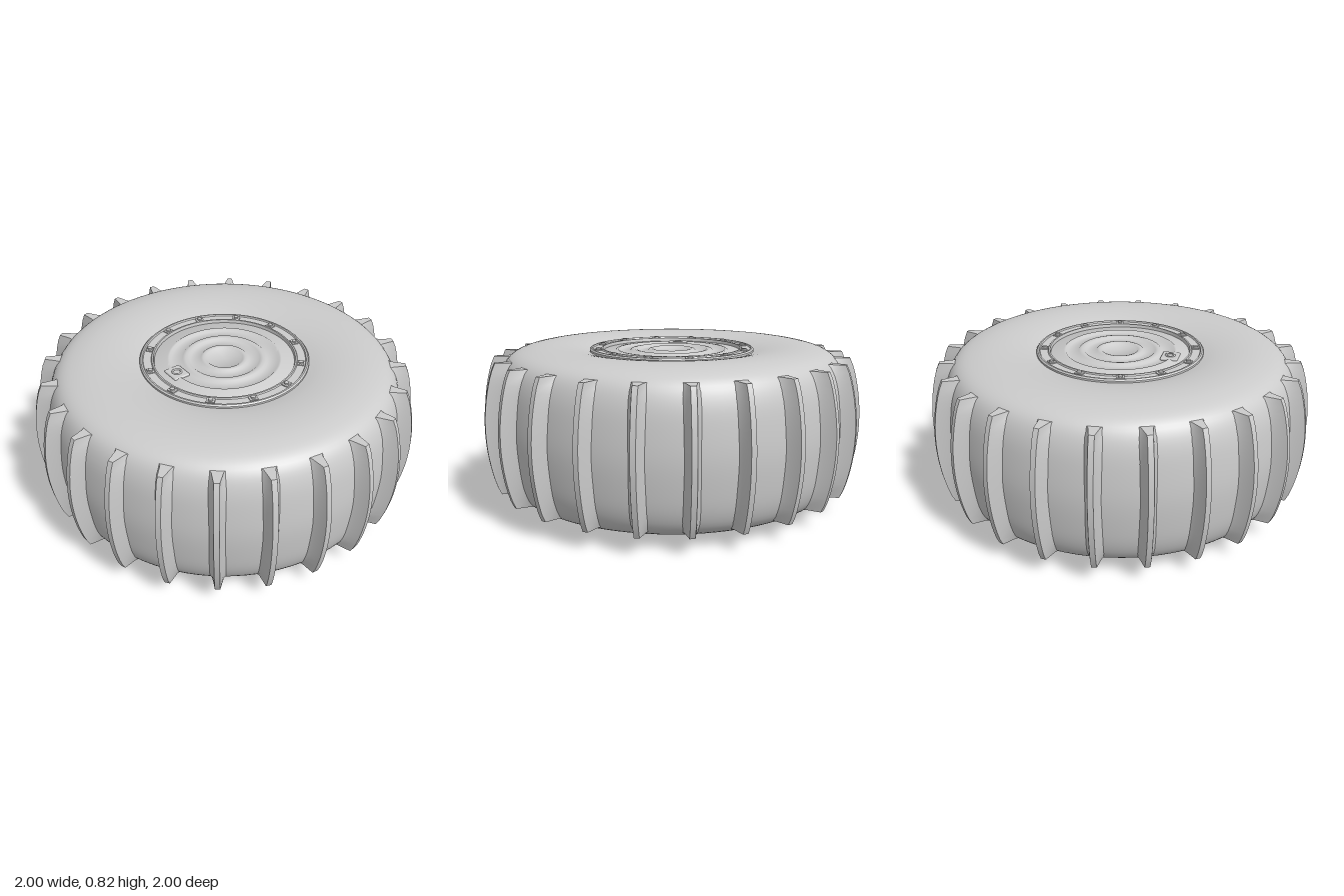
import * as THREE from 'three';
import { toCreasedNormals } from 'three/addons/utils/BufferGeometryUtils.js';
import { RoundedBoxGeometry } from 'three/addons/geometries/RoundedBoxGeometry.js';

const MID = 0.4275; // height of the tyre's centre plane
const PADDLES = 24;
const BOLTS = 12;
const grey = new THREE.MeshStandardMaterial({ color: 0xcccccc });
const greyBoth = new THREE.MeshStandardMaterial({ color: 0xcccccc, side: THREE.DoubleSide });

function part(name, geometry, material = grey) {
  const mesh = new THREE.Mesh(geometry, material);
  mesh.name = name;
  return mesh;
}

const vec = ([r, y]) => new THREE.Vector2(r, y);
const lathe = (points, crease = 0.5) =>
  toCreasedNormals(new THREE.LatheGeometry(points.map(vec), 96), crease);

// Half of the tyre's section: radius, height above the centre plane
const tyreHalf = [[0.93, 0], [0.922, 0.13], [0.905, 0.24], [0.872, 0.32], [0.82, 0.364],
  [0.74, 0.386], [0.66, 0.3925], [0.58, 0.389], [0.5, 0.377], [0.435, 0.36]];

function tyreGeometry() {
  const lower = tyreHalf.slice(1).reverse().map(([r, h]) => [r, MID - h]);
  const upper = tyreHalf.map(([r, h]) => [r, MID + h]);
  const curve = new THREE.SplineCurve([...lower, ...upper].map(vec));
  return new THREE.LatheGeometry(curve.getPoints(64), 96);
}

// Tread paddle: a flared blade lofted along the tyre's width, pointing to +z
function paddleGeometry() {
  const rows = 18, halfLength = 0.34, positions = [], index = [];
  for (let i = 0; i <= rows; i++) {
    const t = (i / rows) * 2 - 1;
    const a = Math.abs(t);
    const tip = 1 - 0.058 * a * a - 0.006 * a ** 14;
    const base = 0.918 - 0.045 * a ** 2.5 - 0.045 * a ** 8;
    const flare = 0.042 + 0.01 * a ** 4;
    const low = THREE.MathUtils.lerp(base, tip, 0.35);
    const side = [[flare, base], [0.027, low], [0.013, tip]];
    const section = [...side.map(([w, r]) => [-w, r]), ...side.reverse()];
    section.forEach(([x, z]) => positions.push(x, MID + t * halfLength, z));
  }
  const quad = (a, b, c, d) => index.push(a, b, c, a, c, d);
  for (let i = 0; i < rows; i++) {
    for (let k = 0; k < 5; k++) {
      const a = i * 6 + k;
      quad(a, a + 1, a + 7, a + 6);
    }
  }
  const e = rows * 6;
  quad(e, e + 1, e + 4, e + 5);
  quad(e + 1, e + 2, e + 3, e + 4);
  quad(5, 4, 1, 0);
  quad(4, 3, 2, 1);
  const geometry = new THREE.BufferGeometry();
  geometry.setAttribute('position', new THREE.Float32BufferAttribute(positions, 3));
  geometry.setIndex(index);
  return toCreasedNormals(geometry, 0.6);
}

// Flat mounting face with a bore and five stud holes
function hubFaceGeometry() {
  const shape = new THREE.Shape().absarc(0, 0, 0.106, 0, Math.PI * 2);
  const hole = (x, y, r) => shape.holes.push(new THREE.Path().absarc(x, y, r, 0, Math.PI * 2, true));
  hole(0, 0, 0.026);
  for (let i = 0; i < 5; i++) {
    const a = (i / 5) * Math.PI * 2;
    hole(Math.cos(a) * 0.07, Math.sin(a) * 0.07, 0.009);
  }
  const geometry = new THREE.ExtrudeGeometry(shape, { depth: 0.03, bevelEnabled: false, curveSegments: 32 });
  return toCreasedNormals(geometry.rotateX(-Math.PI / 2), 0.5);
}

// Ring of bolts, each on a small square seat
function boltRing(name, y, up) {
  const ring = new THREE.Group();
  ring.name = name;
  const seat = new THREE.BoxGeometry(0.042, 0.01, 0.034);
  const bolt = new THREE.CylinderGeometry(0.013, 0.013, 0.018, 6);
  for (let i = 0; i < BOLTS; i++) {
    const holder = new THREE.Group();
    holder.name = 'bolt';
    holder.rotation.y = (i / BOLTS) * Math.PI * 2 - 0.155;
    const seatMesh = part('boltSeat', seat);
    const boltMesh = part('boltHead', bolt);
    seatMesh.position.set(0, y, 0.395);
    boltMesh.position.set(0, y + up * 0.004, 0.395);
    holder.add(seatMesh, boltMesh);
    ring.add(holder);
  }
  return ring;
}

export function createModel() {
  const model = new THREE.Group();
  model.name = 'paddleWheel';
  model.add(part('tyre', tyreGeometry(), greyBoth));

  // Tread
  const tread = new THREE.Group();
  tread.name = 'tread';
  const paddle = paddleGeometry();
  for (let i = 0; i < PADDLES; i++) {
    const blade = part('paddle', paddle);
    blade.rotation.y = (i / PADDLES) * Math.PI * 2 - 0.023;
    tread.add(blade);
  }
  model.add(tread);

  // Clamping rings on both sides
  const ring = [[0.437, 0.33], [0.437, 0.37], [0.43, 0.377], [0.422, 0.377], [0.418, 0.37],
    [0.378, 0.37], [0.374, 0.376], [0.366, 0.376], [0.362, 0.36], [0.362, 0.33]];
  model.add(part('topClampRing', lathe(ring.map(([r, h]) => [r, MID + h])), greyBoth));
  model.add(part('bottomClampRing', lathe(ring.map(([r, h]) => [r, MID - h]).reverse()), greyBoth));
  model.add(boltRing('topBolts', MID + 0.37, 1));
  model.add(boltRing('bottomBolts', MID - 0.37, -1));

  // Pressed cover disc with concentric ridges
  const disc = [[0.37, 0.78], [0.362, 0.787], [0.305, 0.787], [0.295, 0.794], [0.285, 0.794],
    [0.275, 0.784], [0.225, 0.784], [0.215, 0.793], [0.2, 0.796], [0.185, 0.793], [0.175, 0.784],
    [0.13, 0.784], [0.12, 0.793], [0.108, 0.796], [0.096, 0.793], [0.086, 0.784], [0, 0.784]];
  model.add(part('coverDisc', lathe(disc, 0.9), greyBoth));

  // Valve plate on the cover disc
  const valve = new THREE.Group();
  valve.name = 'valve';
  valve.position.set(-0.135, 0.787, 0.24);
  valve.rotation.y = -0.4;
  valve.add(part('valvePlate', new RoundedBoxGeometry(0.105, 0.016, 0.09, 3, 0.007)));
  const collar = part('valveCollar', new THREE.TorusGeometry(0.022, 0.005, 8, 24).rotateX(Math.PI / 2));
  collar.position.y = 0.008;
  valve.add(collar);
  model.add(valve);

  // Recessed dish and hub cone on the underside
  const dish = [[0.1, 0], [0.107, 0.002], [0.13, 0.03], [0.185, 0.14], [0.198, 0.155],
    [0.22, 0.16], [0.28, 0.15], [0.335, 0.115], [0.355, 0.08], [0.364, 0.06]];
  model.add(part('hubDish', lathe(dish, 0.6), greyBoth));
  model.add(part('hubFace', hubFaceGeometry()));
  return model;
}
